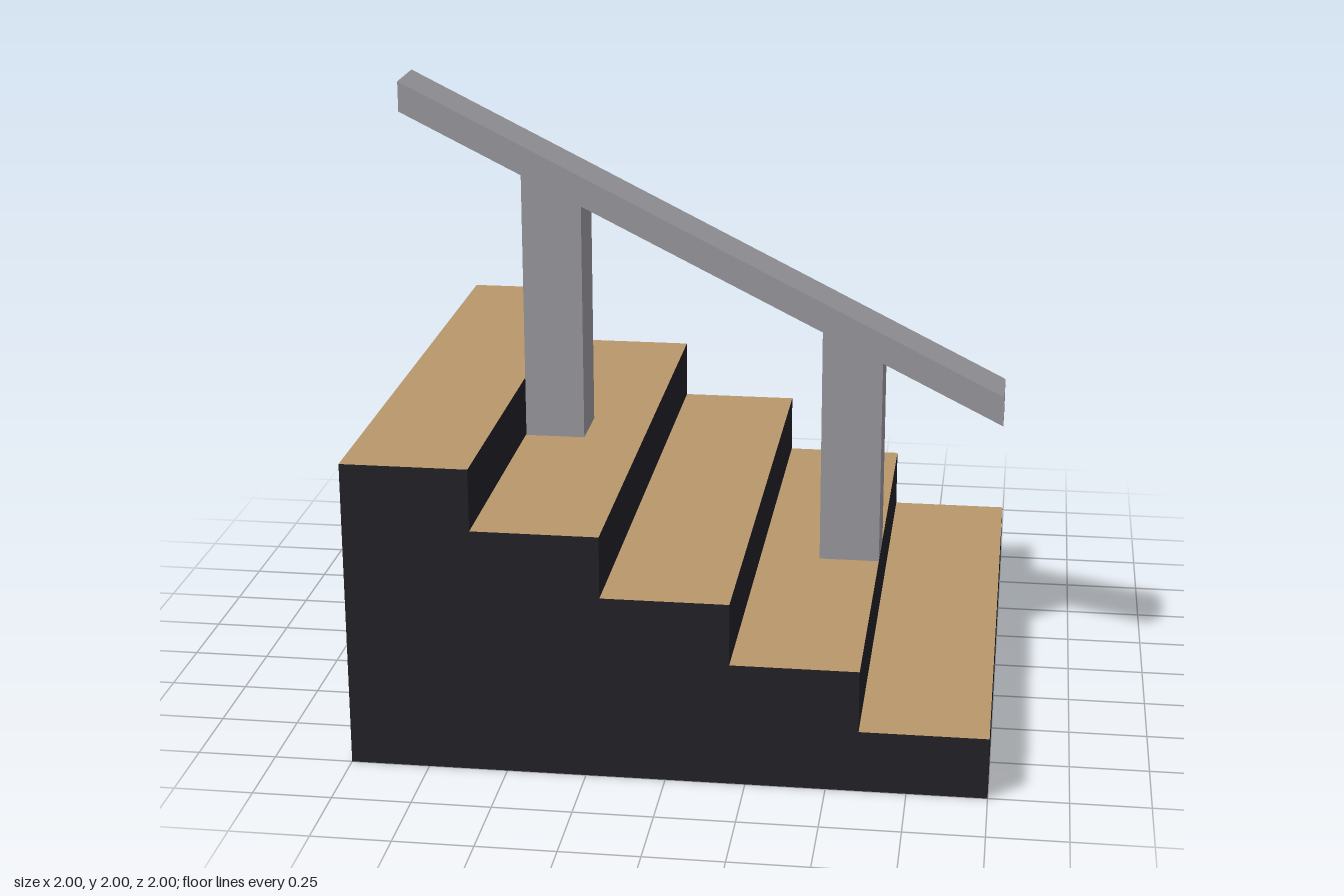
import * as THREE from 'three';

const mat = (color) => new THREE.MeshStandardMaterial({ color, side: THREE.DoubleSide });

export function createModel() {
  const group = new THREE.Group();
  const dark = mat(0x222228), wood = mat(0xb9976a), grey = mat(0x9c9aa0);
  const add = (name, geometry, material) => {
    const mesh = new THREE.Mesh(geometry, material);
    mesh.name = name;
    group.add(mesh);
    return mesh;
  };
  const outline = (pts) => new THREE.Shape(pts.map(([x, y]) => new THREE.Vector2(x, y)));

  // Steps from the top down: left edge, right edge, height
  const edges = [-1, -0.6, -0.2, 0.2, 0.6, 1];
  const profile = [[-1, 0], [1, 0]];
  for (let i = 4; i >= 0; i--) {
    const h = 1 - 0.2 * i;
    profile.push([edges[i + 1], h], [edges[i], h]);
  }

  // Stepped side walls of the hollow, open-bottomed stair
  add('frontWall', new THREE.ShapeGeometry(outline(profile)), dark).position.z = 1;
  const rear = add('rearWall', new THREE.ShapeGeometry(outline(profile.map(([x, y]) => [-x, y]))), dark);
  rear.rotation.y = Math.PI;
  rear.position.z = -1;

  // Tall end wall
  const end = add('endWall', new THREE.PlaneGeometry(2, 1).rotateY(-Math.PI / 2), dark);
  end.position.set(-1, 0.5, 0);

  // Treads and risers
  for (let i = 0; i < 5; i++) {
    const [a, b] = [edges[i], edges[i + 1]], h = 1 - 0.2 * i;
    const tread = add('tread', new THREE.PlaneGeometry(b - a, 2).rotateX(-Math.PI / 2), wood);
    tread.position.set((a + b) / 2, h, 0);
    const riser = add('riser', new THREE.PlaneGeometry(2, 0.2).rotateY(Math.PI / 2), dark);
    riser.position.set(b, h - 0.1, 0);
  }

  // Sloping handrail and its two posts in one piece
  const rail = outline([
    [-1, 1.9], [-0.598, 1.699], [-0.598, 0.798], [-0.4, 0.798], [-0.4, 1.6],
    [0.4, 1.2], [0.4, 0.402], [0.6, 0.402], [0.6, 1.1], [1, 0.9], [1, 1], [-1, 2],
  ]);
  add('handrail', new THREE.ExtrudeGeometry(rail, { depth: 0.2, bevelEnabled: false }), grey).position.z = -0.1;

  return group;
}
